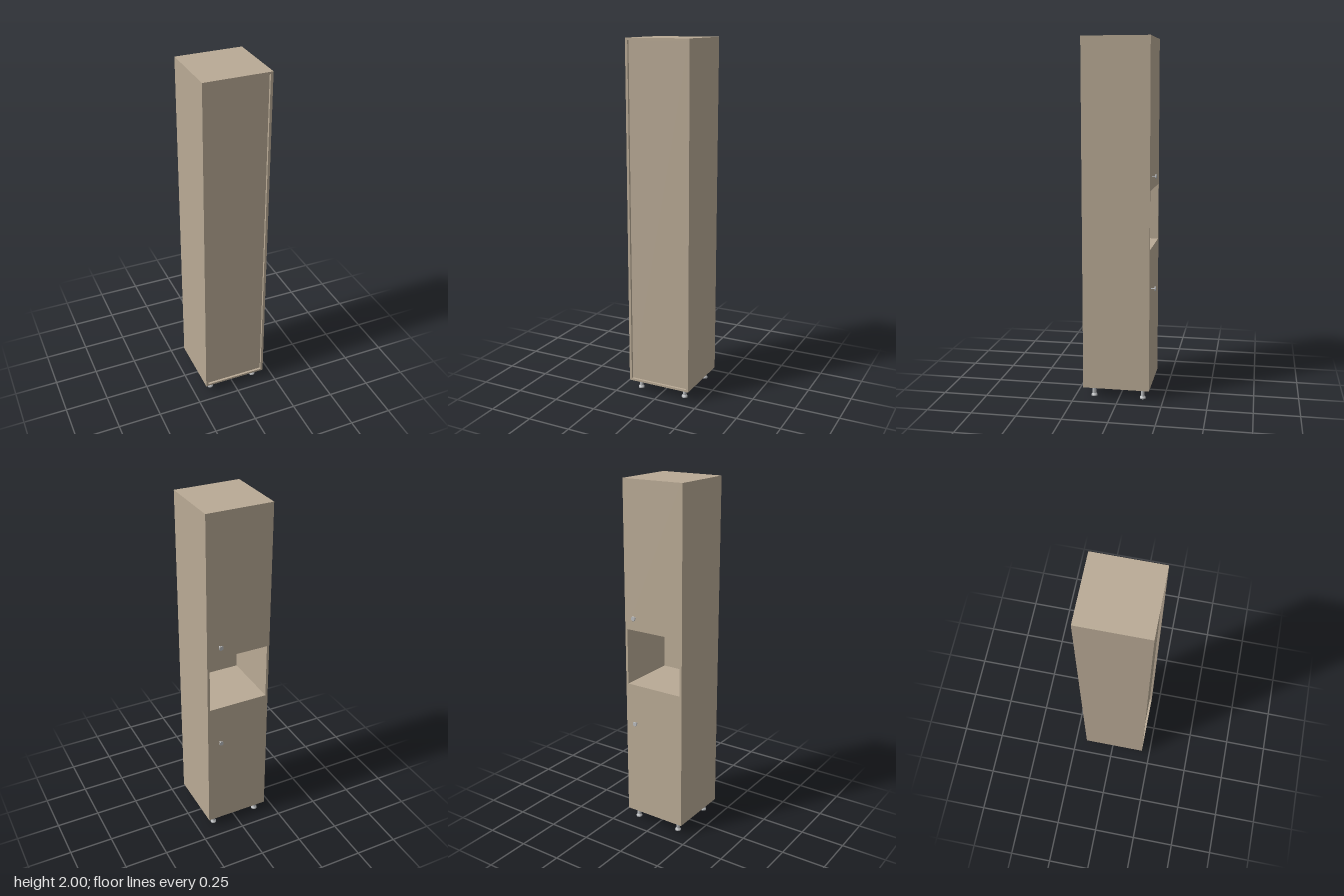
import * as THREE from 'three';

const wood = new THREE.MeshStandardMaterial({ color: 0xb9aa95 });
wood.name = 'beige wood';
const metal = new THREE.MeshStandardMaterial({ color: 0xb9bbbd });
metal.name = 'brushed metal';

// Outer limits of the cabinet, which opens towards -z
const X = 0.187, Y0 = 0.06, Y1 = 2, ZF = -0.174, ZB = 0.2, T = 0.014;
const NICHE_LOW = 0.86, NICHE_HIGH = 1.182;

// Box from its minimum and maximum corners
function board(name, x0, x1, y0, y1, z0, z1) {
  const mesh = new THREE.Mesh(new THREE.BoxGeometry(x1 - x0, y1 - y0, z1 - z0), wood);
  mesh.position.set((x0 + x1) / 2, (y0 + y1) / 2, (z0 + z1) / 2);
  mesh.name = name;
  return mesh;
}

function turned(name, points) {
  const profile = points.map(([r, y]) => new THREE.Vector2(r, y));
  const geometry = new THREE.LatheGeometry(profile, 20).toNonIndexed();
  geometry.computeVertexNormals();
  const mesh = new THREE.Mesh(geometry, metal);
  mesh.name = name;
  return mesh;
}

export function createModel() {
  const cabinet = new THREE.Group();
  cabinet.name = 'tallCabinet';
  const inner = X - T;
  const doorBack = ZF + T;
  const panelZ = 0.187;

  // Carcass; the niche boards come forward to the door faces
  cabinet.add(
    board('leftSide', inner, X, Y0, Y1, ZF, ZB),
    board('rightSide', -X, -inner, Y0, Y1, ZF, ZB),
    board('topBoard', -inner, inner, Y1 - 0.012, Y1, ZF, ZB),
    board('bottomBoard', -inner, inner, Y0, Y0 + 0.012, ZF, ZB),
    board('recessedBackPanel', -inner, inner, Y0 + 0.012, Y1 - 0.012, panelZ - 0.005, panelZ),
    board('nicheFloor', -inner, inner, NICHE_LOW - T, NICHE_LOW, doorBack, panelZ - 0.005),
    board('nicheCeiling', -inner, inner, NICHE_HIGH, NICHE_HIGH + T, doorBack, panelZ - 0.005)
  );

  // Flush doors below and above the open niche
  cabinet.add(
    board('lowerDoor', -inner, inner, Y0 + 0.012, NICHE_LOW, ZF, doorBack),
    board('upperDoor', -inner, inner, NICHE_HIGH, Y1 - 0.012, ZF, doorBack)
  );

  // Round knobs on thin stems
  for (const [name, y] of [['lowerKnob', 0.632], ['upperKnob', 1.256]]) {
    const knob = turned(name, [
      [0.003, 0], [0.003, 0.02], [0.0125, 0.02], [0.0135, 0.0215],
      [0.0135, 0.0245], [0.0125, 0.026], [0, 0.026],
    ]);
    knob.rotation.x = -Math.PI / 2;
    knob.position.set(0.115, y, ZF);
    cabinet.add(knob);
  }

  // Four feet with wide bases
  for (const x of [-0.14, 0.14]) {
    for (const z of [-0.133, 0.145]) {
      const foot = turned('foot', [
        [0, 0], [0.017, 0], [0.017, 0.007], [0.011, 0.015], [0.011, Y0],
      ]);
      foot.position.set(x, 0, z);
      cabinet.add(foot);
    }
  }
  return cabinet;
}
